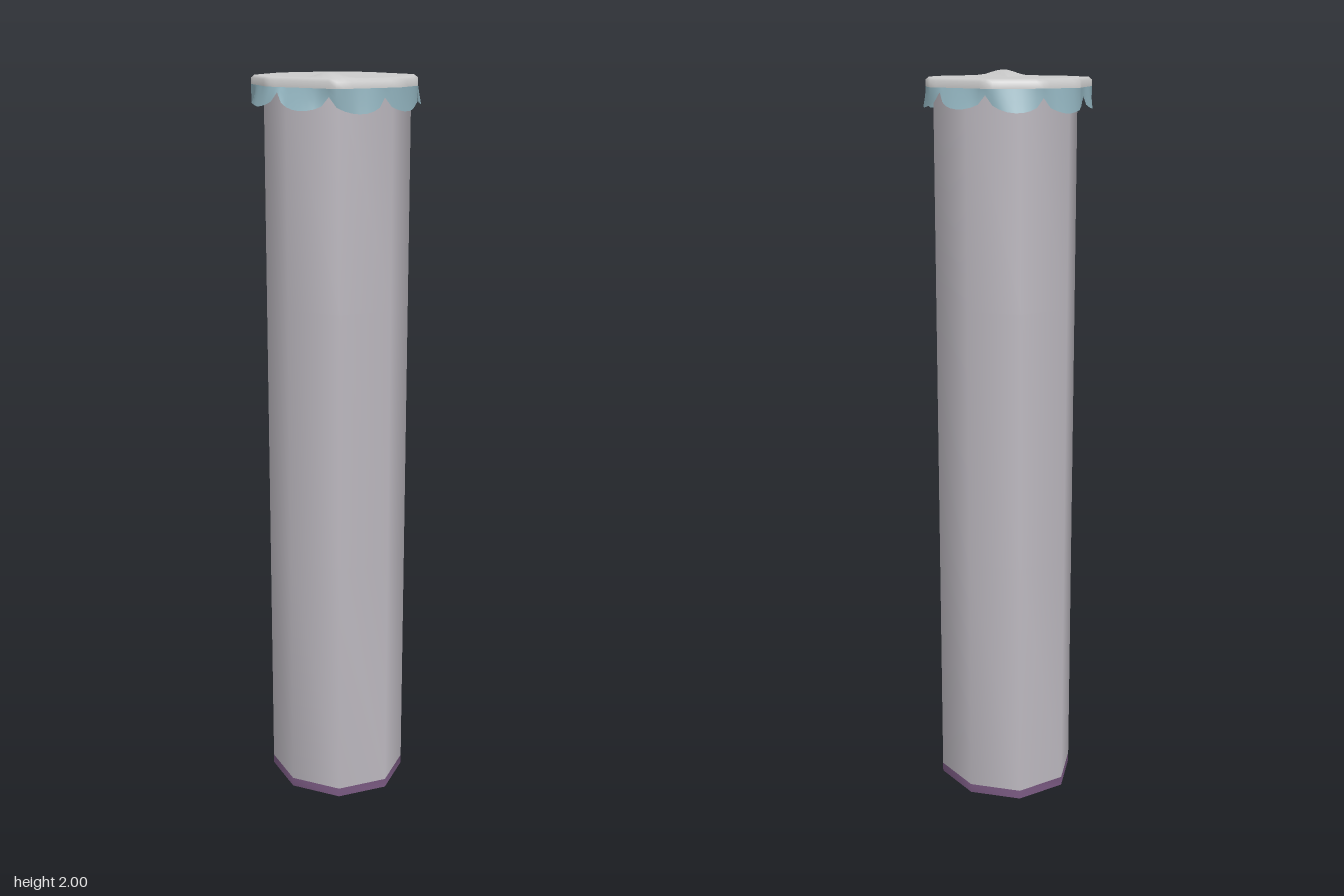
import * as THREE from 'three';

const SEGMENTS = 72;
const SCALLOPS = 9;

// Slightly uneven outlines as [x, z], ordered from +x towards +z
const RIM = [[0.218, -0.01], [0.165, 0.16], [-0.045, 0.2], [-0.17, 0.14],
  [-0.22, 0], [-0.18, -0.11], [-0.08, -0.2], [0.115, -0.185], [0.195, -0.095]];
const SHAFT = [[0.198, 0], [0.14, 0.13], [0.005, 0.182], [-0.13, 0.132],
  [-0.19, 0], [-0.135, -0.132], [0, -0.182], [0.14, -0.132]];

// Distance from the axis to a polygon's edge in direction a
function radiusAt(outline, a) {
  const dx = Math.cos(a), dz = Math.sin(a);
  for (let i = 0; i < outline.length; i++) {
    const [px, pz] = outline[i];
    const [qx, qz] = outline[(i + 1) % outline.length];
    const p = dx * pz - dz * px, q = dx * qz - dz * qx;
    if (p <= 0 && q > 0) {
      const t = p / (p - q);
      return Math.hypot(px + (qx - px) * t, pz + (qz - pz) * t);
    }
  }
  return 0.2;
}

// Smooth skin over closed rings of [x, y, z], listed from top to bottom
function loft(name, rings, color) {
  const n = rings[0].length, index = [];
  for (let r = 0; r < rings.length - 1; r++) {
    for (let j = 0; j < n; j++) {
      const k = (j + 1) % n;
      const a = r * n + j, b = r * n + k, c = a + n, d = b + n;
      index.push(a, b, c, b, d, c);
    }
  }
  const geometry = new THREE.BufferGeometry();
  geometry.setAttribute('position', new THREE.Float32BufferAttribute(rings.flat(2), 3));
  geometry.setIndex(index);
  geometry.computeVertexNormals();
  const mesh = new THREE.Mesh(geometry,
    new THREE.MeshStandardMaterial({ color, side: THREE.DoubleSide }));
  mesh.name = name;
  return mesh;
}

// Ring whose radius and height are functions of the angle
function ring(radius, height) {
  return Array.from({ length: SEGMENTS }, (_, i) => {
    const a = (i / SEGMENTS) * Math.PI * 2;
    const r = radius(a);
    return [r * Math.cos(a), height(a), r * Math.sin(a)];
  });
}

export function createModel() {
  const group = new THREE.Group();
  group.name = 'pillar';

  // Eight-sided hollow shaft, open at the foot, with a dark lower edge
  const level = (y) => SHAFT.map(([x, z]) => [x, y, z]);
  group.add(loft('shaft', [1.97, 1.4, 0.7, 0.025].map(level), 0xbdb9c0));
  group.add(loft('footEdge', [0.025, 0].map(level), 0x7a5a82));

  // Flat cap with a softened rim and one small raised spot
  const rim = (a) => radiusAt(RIM, a);
  const bump = (a) => 0.015 * Math.exp(-(((a - 0.9) / 0.25) ** 2));
  group.add(loft('cap', [
    ring(() => 0, () => 1.985),
    ring((a) => rim(a) * 0.8, (a) => 1.985 + bump(a)),
    ring((a) => rim(a) * 0.96, () => 1.985),
    ring(rim, () => 1.978),
    ring((a) => rim(a) * 1.003, () => 1.962),
  ], 0xcccccc));

  // Scalloped skirt hanging from the cap
  const wave = (a) => Math.abs(Math.sin((a - Math.PI / 2) * SCALLOPS / 2));
  const flare = (a) => Math.max(rim(a), 0.207 + 0.013 * wave(a));
  const hem = (a) => 1.945 - 0.038 * Math.sqrt(wave(a)) - 0.006 * Math.sin(a * 2 + 1);
  group.add(loft('skirt', [
    ring((a) => rim(a) * 1.003, () => 1.962),
    ring((a) => (rim(a) + flare(a)) / 2, (a) => (1.962 + hem(a)) / 2),
    ring(flare, hem),
  ], 0x8fb0bb));

  return group;
}
